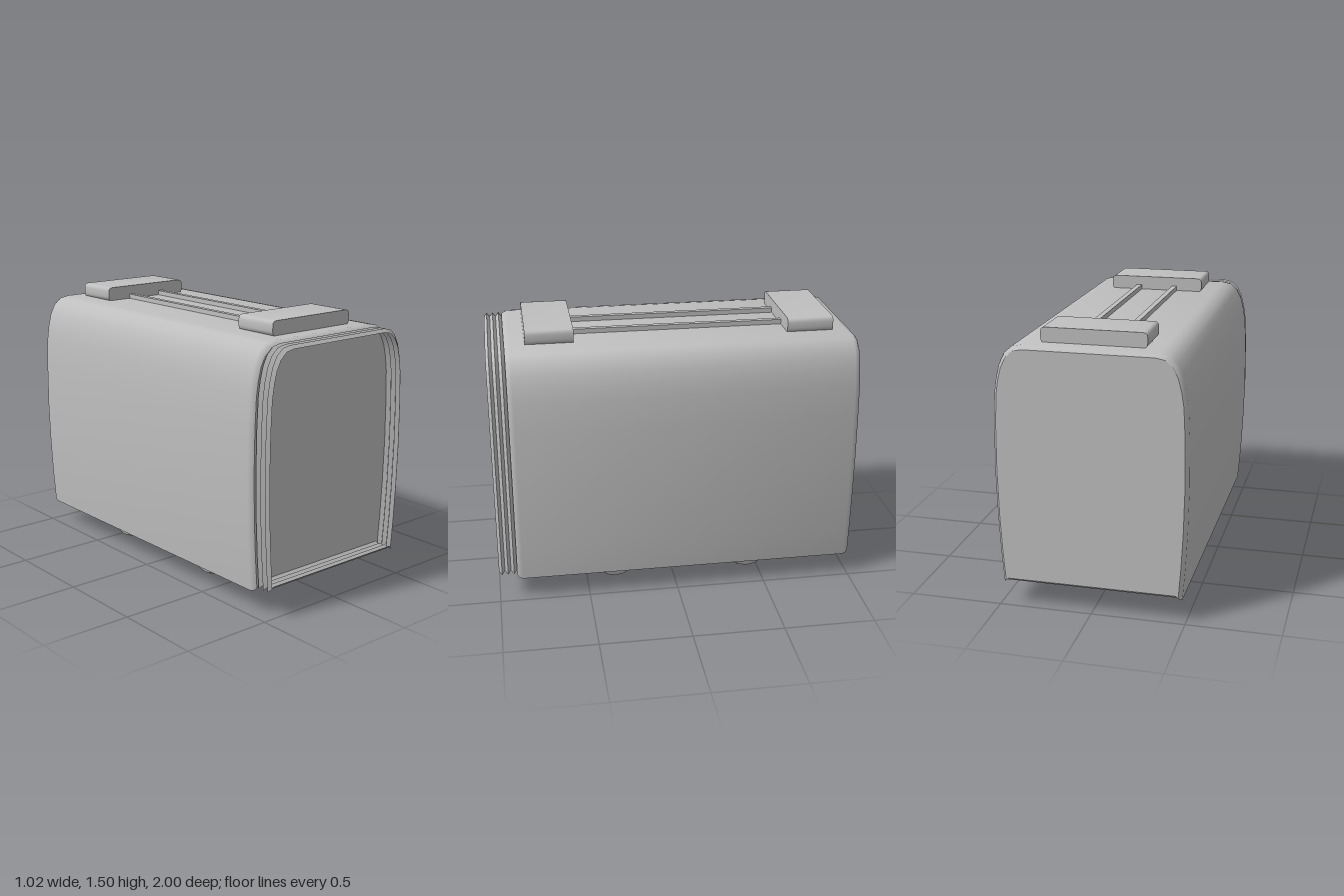
import * as THREE from 'three';
import { toCreasedNormals, mergeVertices } from 'three/addons/utils/BufferGeometryUtils.js';

const grey = new THREE.MeshStandardMaterial({ color: 0xbfbfbf, side: THREE.DoubleSide });
grey.name = 'grey';

// Right half of the carriage cross-section, bottom to top
const half = [
  [0.465, 0.137], [0.48, 0.125], [0.493, 0.3], [0.503, 0.5], [0.509, 0.75], [0.506, 1.0],
  [0.498, 1.17], [0.486, 1.25], [0.468, 1.32], [0.44, 1.375], [0.4, 1.41], [0.35, 1.42],
];
const profile = [...half, ...half.slice().reverse().map(([x, y]) => [-x, y])];

// Cross-section pulled inwards by d, and raised by lift
const section = (d, lift = 0) =>
  profile.map(([x, y]) => [x * (1 - d / 0.509), 0.775 + (y - 0.775) * (1 - d / 0.645) + lift]);

// Shell through rings of [z, inset, lift]
function loft(rings) {
  const pos = [], idx = [], n = profile.length;
  rings.forEach(([z, d, lift]) => section(d, lift).forEach(([x, y]) => pos.push(x, y, z)));
  for (let i = 0; i < rings.length - 1; i++) {
    for (let j = 0; j < n; j++) {
      const a = i * n + j, b = i * n + (j + 1) % n;
      idx.push(a, b, a + n, b, b + n, a + n);
    }
  }
  const g = new THREE.BufferGeometry();
  g.setAttribute('position', new THREE.Float32BufferAttribute(pos, 3));
  g.setIndex(idx);
  return toCreasedNormals(g, 0.75);
}

// Flat end wall; facing is 1 for front and -1 for back
function wall(d, z, facing) {
  const shape = new THREE.Shape(section(d).map(([x, y]) => new THREE.Vector2(x, y)));
  const g = new THREE.ShapeGeometry(shape);
  if (facing < 0) g.rotateY(Math.PI);
  return g.translate(0, 0, z);
}

// Roof box with softened long edges
function roofBox(w, h, depth, r) {
  const s = new THREE.Shape(), x = w / 2;
  s.moveTo(-x + r, 0);
  s.lineTo(x - r, 0);
  s.quadraticCurveTo(x, 0, x, r);
  s.lineTo(x, h - r);
  s.quadraticCurveTo(x, h, x - r, h);
  s.lineTo(-x + r, h);
  s.quadraticCurveTo(-x, h, -x, h - r);
  s.lineTo(-x, r);
  s.quadraticCurveTo(-x, 0, -x + r, 0);
  const g = new THREE.ExtrudeGeometry(s, { depth, bevelEnabled: false, curveSegments: 3 });
  return toCreasedNormals(g.translate(0, 0, -depth / 2), 0.6);
}

export function createModel() {
  const model = new THREE.Group();
  const add = (name, geometry, x = 0, y = 0, z = 0) => {
    const mesh = new THREE.Mesh(geometry, grey);
    mesh.name = name;
    mesh.position.set(x, y, z);
    model.add(mesh);
    return mesh;
  };

  // Carriage body with bevelled ends
  add('body', loft([[-1, 0.018], [-0.99, 0.006], [-0.97, 0], [0.87, 0], [0.89, 0.006], [0.9, 0.018]]));
  add('backWall', wall(0.018, -1, -1));
  add('frontWall', wall(0.018, 0.9, 1));

  // Folded gangway bellows, open at the front
  const folds = [];
  for (let i = 0; i <= 6; i++) folds.push([0.9 + i / 60, i % 2 ? 0.015 : 0.033, 0.008]);
  add('bellows', loft(folds));

  // Roof units and the two rails joining them
  add('frontRoofUnit', roofBox(0.55, 0.08, 0.26, 0.025), 0, 1.417, 0.66);
  add('backRoofUnit', roofBox(0.55, 0.08, 0.255, 0.025), 0, 1.417, -0.765);
  for (const side of [-1, 1]) {
    add('roofRail', new THREE.BoxGeometry(0.03, 0.03, 1.19), side * 0.108, 1.431, -0.055);
  }

  // Underframe
  add('underframe', new THREE.BoxGeometry(0.76, 0.02, 1.08), 0, 0.131, -0.05);

  // Axles and flanged wheels
  const wheelProfile = [[0, -0.03], [0.125, -0.03], [0.136, -0.022], [0.136, -0.014],
    [0.122, -0.004], [0.117, 0.024], [0.108, 0.03], [0, 0.03]]
    .map(([r, y]) => new THREE.Vector2(r, y));
  const wheel = toCreasedNormals(mergeVertices(new THREE.LatheGeometry(wheelProfile, 16)), 0.6);
  wheel.rotateZ(-Math.PI / 2);
  const axle = new THREE.CylinderGeometry(0.014, 0.014, 0.58, 10).rotateZ(Math.PI / 2);
  for (const z of [0.335, -0.435]) {
    add('axle', axle, 0, 0.125, z);
    for (const side of [-1, 1]) {
      const w = add('wheel', wheel, side * 0.318, 0.136, z);
      if (side < 0) w.rotation.y = Math.PI;
    }
  }
  return model;
}
